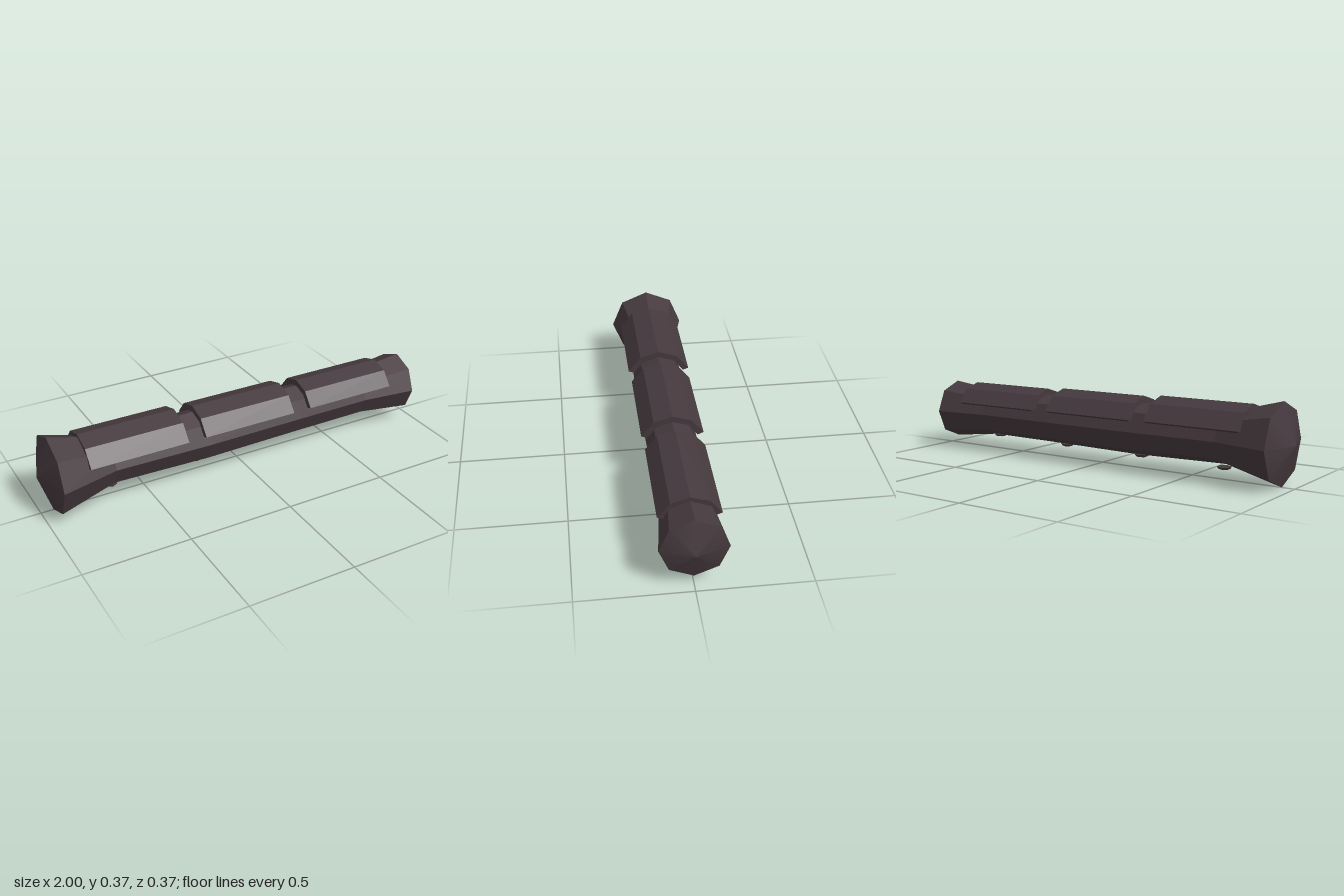
import * as THREE from 'three';

export function createModel() {
  const group = new THREE.Group();
  const axisY = 0.19;
  const bark = new THREE.MeshStandardMaterial({ color: 0x45393e, flatShading: true });
  bark.name = 'dark bark';
  // same colour, smooth normals for the gently domed ends
  const endWood = new THREE.MeshStandardMaterial({ color: 0x45393e });
  endWood.name = 'dark end wood';

  function add(name, geometry, material, x, y) {
    const mesh = new THREE.Mesh(geometry, material);
    mesh.name = name;
    mesh.position.set(x, y, 0);
    group.add(mesh);
  }

  // eight-sided solid turned around the x axis, profile as [x, radius]
  function turned(profile) {
    const points = profile.map(([x, r]) => new THREE.Vector2(r, x));
    return new THREE.LatheGeometry(points, 8).rotateZ(-Math.PI / 2);
  }

  // trunk flaring at both ends, with shallow pointed caps
  add('trunk', turned([[-0.94, 0.187], [-0.67, 0.116], [-0.2, 0.125],
    [0.29, 0.118], [0.68, 0.115], [0.95, 0.147]]), bark, 0, axisY);
  add('rightEnd', turned([[-1, 0], [-0.94, 0.187]]), endWood, 0, axisY);
  add('leftEnd', turned([[0.95, 0.147], [1, 0]]), endWood, 0, axisY);

  // thick curved plate lying over the trunk
  function shell(outer, inner, length) {
    const shape = new THREE.Shape();
    const start = Math.PI / 8, step = (Math.PI * 3) / 16;
    for (let i = 0; i <= 4; i++) {
      const a = start + i * step;
      shape[i ? 'lineTo' : 'moveTo'](outer * Math.cos(a), outer * Math.sin(a));
    }
    for (let i = 4; i >= 0; i--) {
      const a = start + i * step;
      shape.lineTo(inner * Math.cos(a), inner * Math.sin(a));
    }
    shape.closePath();
    return new THREE.ExtrudeGeometry(shape, { depth: length, bevelEnabled: false })
      .rotateY(Math.PI / 2);
  }
  [[-0.8, 0.164], [-0.235, 0.156], [0.335, 0.148]].forEach(([x, r], i) =>
    add('barkPlate' + (i + 1), shell(r, r - 0.029, 0.473), bark, x, axisY));

  // small flat studs along the underside
  [[-0.662, 0.056], [-0.225, 0.063], [0.212, 0.068], [0.65, 0.074]].forEach(([x, y], i) =>
    add('stud' + (i + 1), new THREE.CylinderGeometry(0.034, 0.026, 0.011, 6), bark, x, y));

  return group;
}
